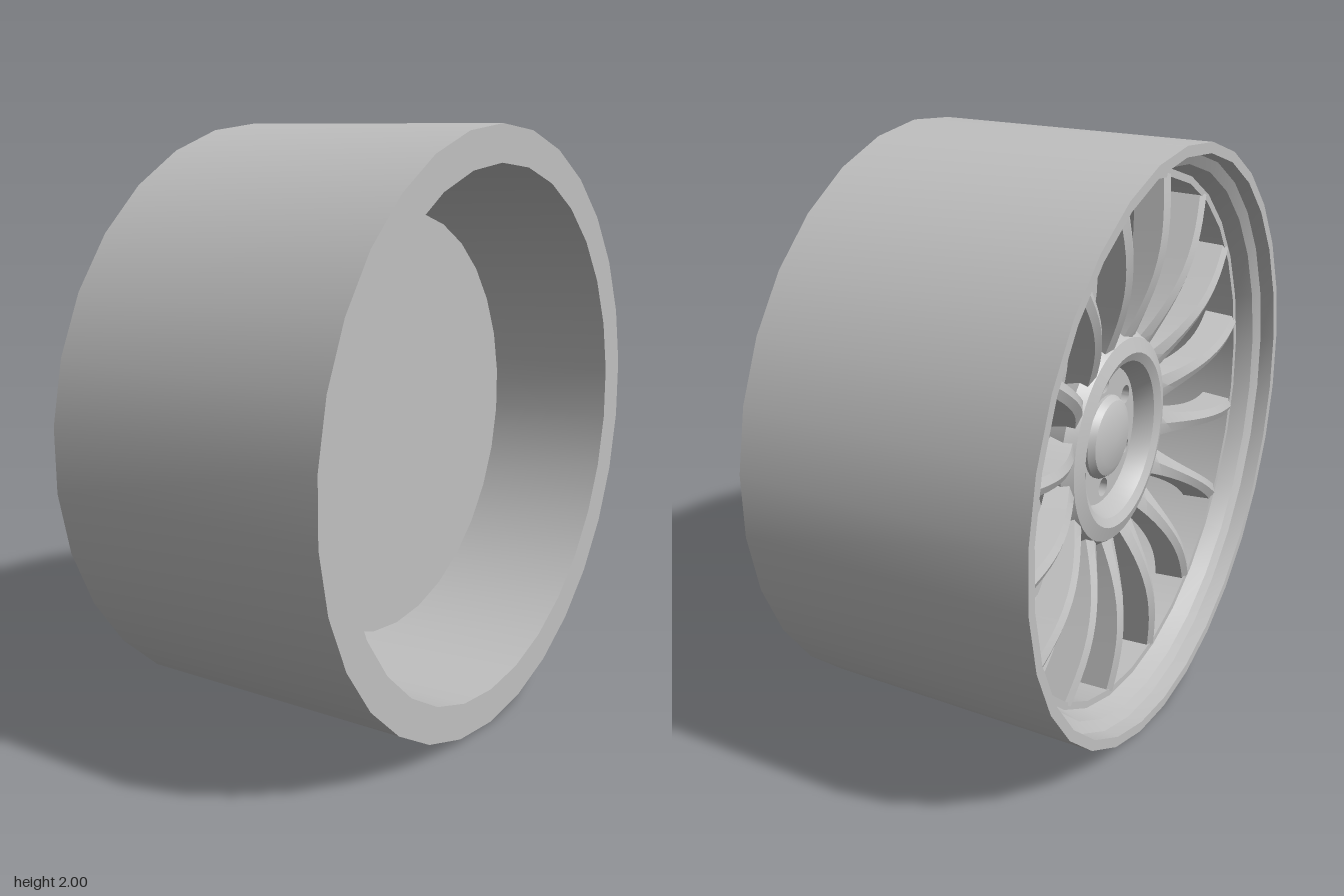
import * as THREE from 'three';
import { toCreasedNormals } from 'three/addons/utils/BufferGeometryUtils.js';

export function createModel() {
  const model = new THREE.Group();
  model.name = 'wheel';
  const grey = new THREE.MeshStandardMaterial({ color: 0xc0c0c0 });
  grey.name = 'wheel grey';

  const wheel = new THREE.Group();
  wheel.name = 'wheelAssembly';
  wheel.position.y = 1;
  model.add(wheel);

  const add = (name, geometry, crease = 0.5) => {
    const mesh = new THREE.Mesh(toCreasedNormals(geometry, crease), grey);
    mesh.name = name;
    wheel.add(mesh);
    return mesh;
  };
  // Turns a profile of [radius, x] around the x axis
  const turned = (name, profile, sides = 30) => {
    const points = profile.map(([r, x]) => new THREE.Vector2(r, x));
    const geometry = new THREE.LatheGeometry(points, sides, Math.PI / 2);
    geometry.rotateZ(-Math.PI / 2);
    return add(name, geometry);
  };

  // Barrel with a plain inner edge and a stepped outer lip
  turned('barrel', [
    [1, -0.49], [1, 0.49], [0.88, 0.49], [0.88, -0.36], [0.905, -0.36],
    [0.925, -0.42], [0.96, -0.44], [0.965, -0.49], [1, -0.49],
  ]);

  // Disc behind the spokes and the axle that carries it
  turned('disc', [[0, 0.05], [0.72, 0.05], [0.72, 0.11], [0, 0.11]]);
  turned('axle', [[0, -0.17], [0.25, -0.17], [0.25, 0.06], [0, 0.06]]);

  // Raised hub ring
  turned('hubRing', [
    [0.30, -0.31], [0.35, -0.295], [0.375, -0.26], [0.36, -0.17], [0.23, -0.17],
    [0.24, -0.235], [0.27, -0.295], [0.30, -0.31],
  ], 48);

  // Recessed hub plate with six bolt holes
  const plate = new THREE.Shape().absarc(0, 0, 0.245, 0, Math.PI * 2);
  for (let i = 0; i < 6; i++) {
    const a = Math.PI / 2 + (i * Math.PI) / 3;
    plate.holes.push(new THREE.Path().absarc(0.19 * Math.cos(a), 0.19 * Math.sin(a), 0.033, 0, Math.PI * 2, true));
  }
  const plateGeometry = new THREE.ExtrudeGeometry(plate, { depth: 0.06, bevelEnabled: false, curveSegments: 16 });
  plateGeometry.rotateY(-Math.PI / 2);
  add('hubPlate', plateGeometry).position.x = -0.17;

  // Domed centre cap
  turned('centreCap', [[0, -0.28], [0.10, -0.275], [0.13, -0.262], [0.145, -0.24], [0.145, -0.21]], 32);

  // Sixteen arched spokes, flared at the hub and slightly wider at the rim
  const spokeGeometry = new THREE.BoxGeometry(1, 1, 1, 1, 12, 2);
  const p = spokeGeometry.attributes.position;
  for (let i = 0; i < p.count; i++) {
    const t = p.getY(i) + 0.5;
    const front = p.getX(i) < 0;
    const side = p.getZ(i) * 2;
    const halfWidth = 0.029 + 0.034 * (1 - t) ** 4 + 0.01 * t * t;
    const face = -0.285 - 0.08 * t - 0.05 * Math.sin(Math.PI * t);
    const x = front ? face + 0.012 * Math.abs(side) : face + 0.09 + 0.03 * t;
    p.setXYZ(i, x, 0.33 + 0.56 * t, side * halfWidth * (front ? 0.8 : 1));
  }
  for (let i = 0; i < 16; i++) {
    add('spoke', spokeGeometry).rotation.x = ((i + 0.5) * Math.PI) / 8;
  }

  return model;
}
